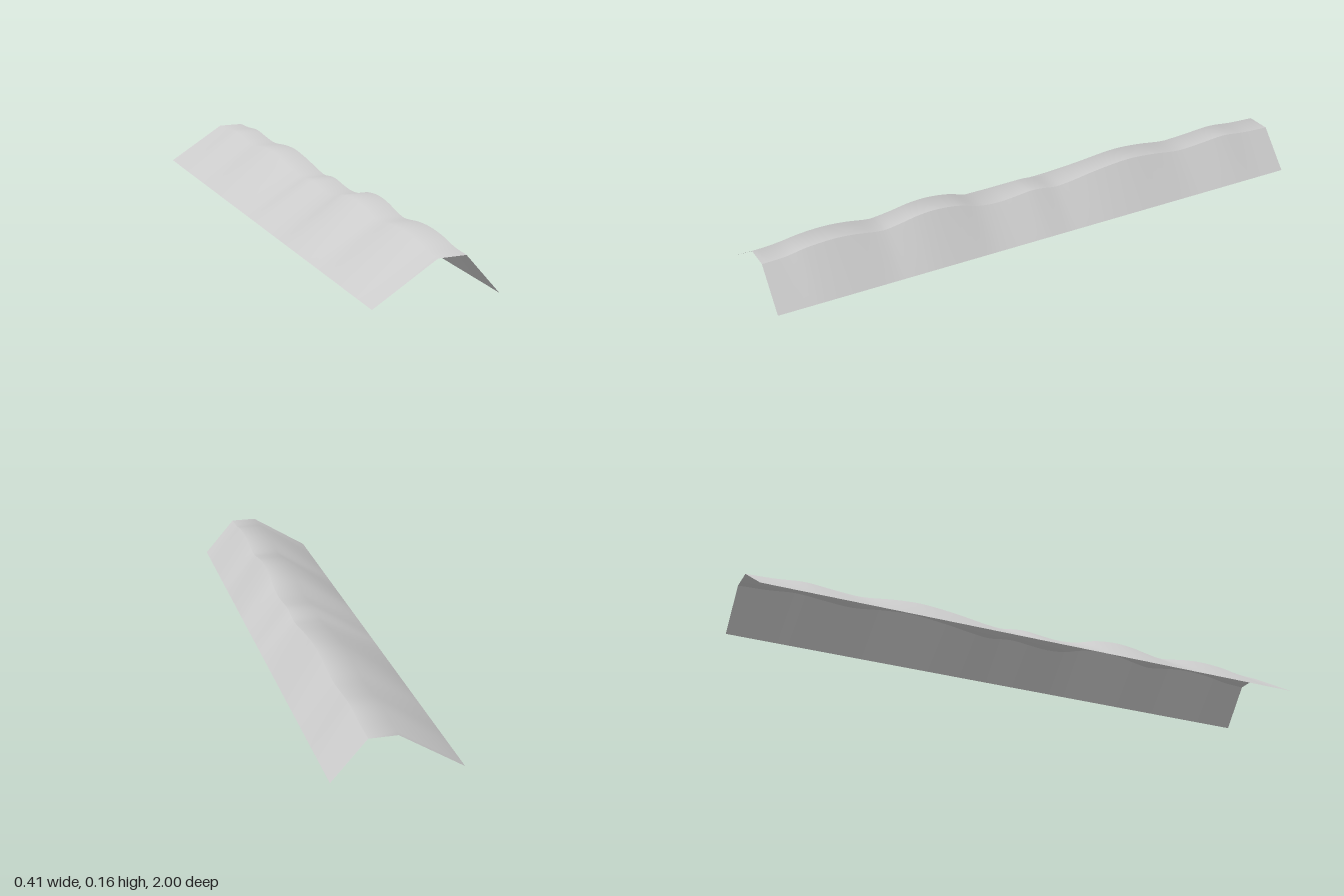
import * as THREE from 'three';

// Ridge height along the length: [z, height]
const CREST = [
  [-1, 0.13], [-0.9, 0.135], [-0.8, 0.145], [-0.7, 0.138], [-0.6, 0.133],
  [-0.48, 0.148], [-0.38, 0.154], [-0.25, 0.143], [-0.14, 0.127], [-0.08, 0.122],
  [-0.02, 0.13], [0.02, 0.132], [0.08, 0.126], [0.15, 0.121], [0.22, 0.127],
  [0.3, 0.149], [0.38, 0.158], [0.45, 0.154], [0.52, 0.141], [0.58, 0.133],
  [0.68, 0.147], [0.76, 0.152], [0.85, 0.146], [0.92, 0.134], [1, 0.13],
];
const SEGMENTS = 96;

export function createModel() {
  const group = new THREE.Group();
  group.name = 'embankment';
  const material = new THREE.MeshStandardMaterial({ color: 0xcccccc, side: THREE.DoubleSide });

  const curve = new THREE.CatmullRomCurve3(CREST.map(([z, y]) => new THREE.Vector3(0, y, z)));
  const crest = curve.getPoints(SEGMENTS);

  // Open sheet swept along z; each profile point is [x, fraction of the ridge height]
  function sheet(name, profile) {
    const columns = profile.length;
    const geometry = new THREE.PlaneGeometry(1, 1, columns - 1, SEGMENTS);
    const position = geometry.attributes.position;
    for (let i = 0; i < position.count; i++) {
      const [x, lift] = profile[i % columns];
      const point = crest[Math.floor(i / columns)];
      position.setXYZ(i, x, point.y * lift, point.z);
    }
    geometry.computeVertexNormals();
    const mesh = new THREE.Mesh(geometry, material);
    mesh.name = name;
    group.add(mesh);
  }

  // Long slope blends softly into the flat ridge; the steep slope starts at a sharp edge
  sheet('longSlopeAndRidge', [[-0.207, 0], [0.002, 1], [0.094, 1]]);
  sheet('steepSlope', [[0.094, 1], [0.207, 0]]);

  return group;
}
